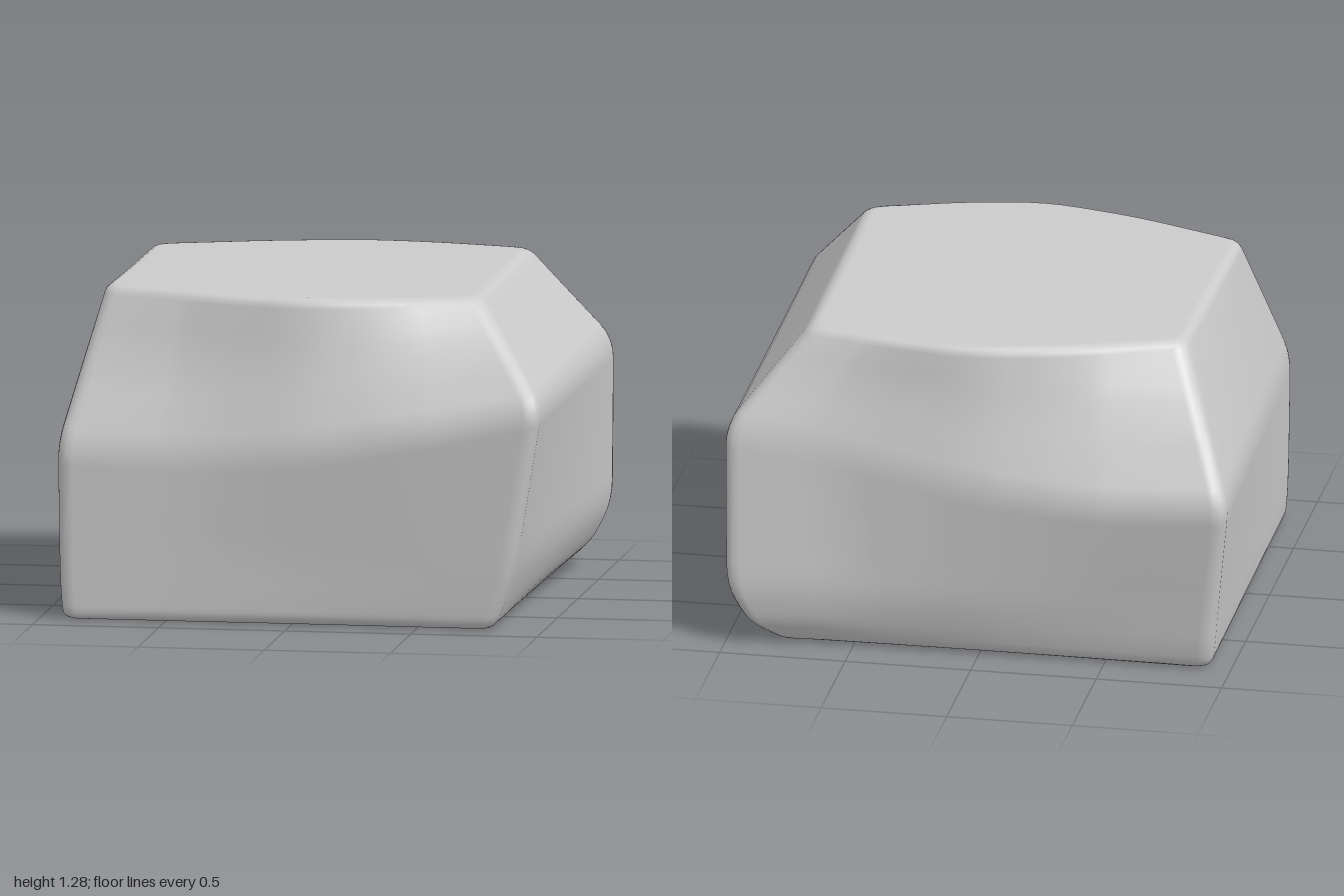
import * as THREE from 'three';

// Each level lists 10 points [x, y, z] around the block:
// front edge from -x to +x, then back edge from +x to -x.
const level = (y, pts) => pts.map(p => (p.length === 3 ? p : [p[0], y, p[1]]))
  .map(p => new THREE.Vector3(...p));

const bottom = level(0, [
  [-0.91, 0.85], [-0.4, 0.86], [0.03, 0.86], [0.45, 0.86], [0.80, 0.86],
  [0.80, -0.82], [0.5, -0.82], [0.03, -0.82], [-0.4, -0.82], [-0.92, -0.82]]);
const foot = level(0.1, [
  [-0.92, 0.85], [-0.4, 0.865], [0.03, 0.87], [0.45, 0.875], [0.84, 0.875],
  [0.92, -0.91], [0.5, -0.87], [0.03, -0.86], [-0.4, -0.85], [-0.935, -0.85]]);
const low = level(0.25, [
  [-0.925, 0.85], [-0.4, 0.87], [0.03, 0.88], [0.45, 0.89], [0.89, 0.895],
  [0.995, -0.945], [0.5, -0.90], [0.03, -0.90], [-0.4, -0.88], [-0.95, -0.87]]);
const waist = level(0, [
  [-0.93, 0.69, 0.85], [-0.4, 0.67, 0.88], [0.03, 0.70, 0.93], [0.45, 0.78, 0.95], [1.005, 0.90, 0.955],
  [1.005, 0.90, -0.90], [0.6, 0.84, -0.875], [0.03, 0.74, -0.935], [-0.4, 0.70, -0.95], [-1.01, 0.73, -0.955]]);
const top = level(1.28, [
  [-0.79, 0.52], [-0.35, 0.70], [0.03, 0.79], [0.35, 0.73], [0.71, 0.60],
  [0.70, -0.70], [0.35, -0.79], [0.03, -0.82], [-0.35, -0.73], [-0.77, -0.57]]);

// Upper slopes, slightly hollow away from the corners
const slope = waist.map((p, i) => {
  const q = p.clone().lerp(top[i], 0.55);
  if (i % 5 !== 0 && i % 5 !== 4) q.z -= Math.sign(q.z) * 0.02;
  return q;
});

// Replaces the corner b of the path a-b-c with a short curve
function roundCorner(a, b, c, radius) {
  const toward = t => b.clone().lerp(t, Math.min(radius / Math.max(b.distanceTo(t), 1e-6), 0.42));
  return new THREE.QuadraticBezierCurve3(toward(a), b, toward(c)).getPoints(4);
}

// Closed outline with crisp corners, soft bends and subdivided straight sides
function outline(points) {
  const out = [];
  const n = points.length;
  points.forEach((p, i) => {
    const corner = i % 5 === 0 || i % 5 === 4;
    const next = points[(i + 1) % n];
    out.push(...roundCorner(points[(i + n - 1) % n], p, next, corner ? 0.06 : 0.14));
    if (i % 5 === 4) {
      for (const t of [0.12, 0.3, 0.5, 0.7, 0.88]) out.push(p.clone().lerp(next, t));
    }
  });
  return out;
}

function blockGeometry() {
  const rings = [bottom, foot, low, waist, slope, top].map(outline);
  const radii = [0.05, 0.06, 0.1, 0.08, 0.12, 0.04];
  const columns = rings[0].length;
  const positions = [];
  const index = [];
  let rows = 0;

  // One vertical profile per outline point, from base centre to top centre
  for (let j = 0; j < columns; j++) {
    const path = [new THREE.Vector3(0, 0, 0), ...rings.map(r => r[j]), new THREE.Vector3(0, 1.28, 0)];
    const profile = [path[0]];
    for (let k = 1; k < path.length - 1; k++) {
      profile.push(...roundCorner(path[k - 1], path[k], path[k + 1], radii[k - 1]));
    }
    profile.push(path[path.length - 1]);
    rows = profile.length;
    profile.forEach(p => positions.push(p.x, p.y, p.z));
  }
  for (let j = 0; j < columns; j++) {
    const a = j * rows;
    const b = ((j + 1) % columns) * rows;
    for (let i = 0; i < rows - 1; i++) {
      index.push(a + i, b + i, b + i + 1, a + i, b + i + 1, a + i + 1);
    }
  }
  const geometry = new THREE.BufferGeometry();
  geometry.setAttribute('position', new THREE.Float32BufferAttribute(positions, 3));
  geometry.setIndex(index);
  geometry.computeVertexNormals();
  return geometry;
}

export function createModel() {
  const group = new THREE.Group();
  group.name = 'stone';
  const block = new THREE.Mesh(blockGeometry(), new THREE.MeshStandardMaterial({ color: 0xcccccc }));
  block.name = 'stoneBlock';
  group.add(block);
  return group;
}
